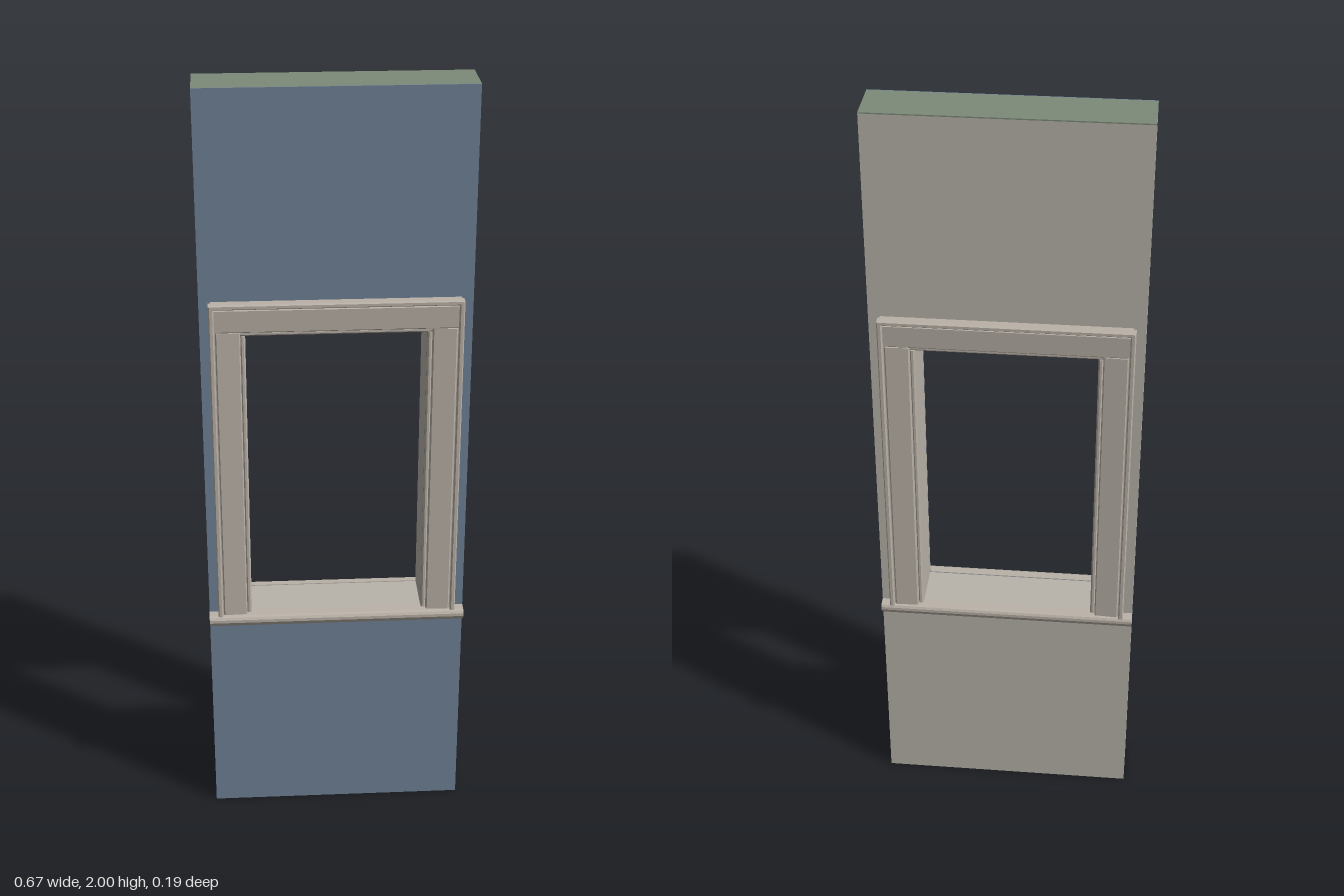
import * as THREE from 'three';

const W = 0.333;                 // half width of the wall
const FRONT = 0.062, BACK = -0.067;
const OX = 0.222, OY0 = 0.608, OY1 = 1.392; // window opening

function mat(name, color) {
  const m = new THREE.MeshStandardMaterial({ color });
  m.name = name;
  return m;
}

// Polygon swept along y; points are [x, z]
function sweepY(pts, y0, y1) {
  const shape = new THREE.Shape(pts.map(([x, z]) => new THREE.Vector2(x, -z)));
  return new THREE.ExtrudeGeometry(shape, { depth: y1 - y0, bevelEnabled: false })
    .rotateX(-Math.PI / 2).translate(0, y0, 0);
}

// Polygon swept along x, centred; points are [z, y]
function sweepX(pts, half) {
  const shape = new THREE.Shape(pts.map(([z, y]) => new THREE.Vector2(-z, y)));
  return new THREE.ExtrudeGeometry(shape, { depth: 2 * half, bevelEnabled: false })
    .rotateY(Math.PI / 2).translate(-half, 0, 0);
}

// Wall slab with the window cut out
function slab(z0, z1, top) {
  const s = new THREE.Shape();
  s.moveTo(-W, 0).lineTo(W, 0).lineTo(W, top).lineTo(-W, top).closePath();
  const h = new THREE.Path();
  h.moveTo(-OX, OY0).lineTo(-OX, OY1).lineTo(OX, OY1).lineTo(OX, OY0).closePath();
  s.holes.push(h);
  return new THREE.ExtrudeGeometry(s, { depth: z1 - z0, bevelEnabled: false }).translate(0, 0, z0);
}

// Trim sections: [distance from opening edge, height above wall face]
const BEAD = [[0, 0], [0, 0.004], [0.004, 0.008], [0.009, 0.008], [0.012, 0.004], [0.015, 0.004], [0.015, 0]];
const BOARD = [[0.012, 0], [0.012, 0.014], [0.015, 0.017], [0.07, 0.019], [0.073, 0.016], [0.077, 0.016], [0.077, 0]];
const BAND = [[0.075, 0], [0.075, 0.023], [0.078, 0.027], [0.085, 0.027], [0.088, 0.023], [0.088, 0]];
// Sill section: [height above wall face, y]
const SILL = [[-0.002, 0.61], [0.022, 0.609], [0.028, 0.606], [0.032, 0.6], [0.032, 0.592],
  [0.028, 0.586], [0.02, 0.584], [0.016, 0.578], [0.012, 0.572], [-0.002, 0.57]];

export function createModel() {
  const model = new THREE.Group();
  model.name = 'windowWall';
  const blue = mat('blue paint', 0x6f8296);
  const grey = mat('warm grey plaster', 0xb8b3aa);
  const trim = mat('trim paint', 0xbab2a8);
  const green = mat('green cap', 0x7d8b79);

  function add(parent, name, geometry, material) {
    const m = new THREE.Mesh(geometry, material);
    m.name = name;
    parent.add(m);
  }

  // Wall body, painted front skin and coloured top cap
  add(model, 'wallCore', slab(BACK, FRONT - 0.003, 1.997), grey);
  add(model, 'frontPaint', slab(FRONT - 0.003, FRONT, 2), blue);
  const capDepth = FRONT - 0.003 - BACK;
  add(model, 'topCap', new THREE.BoxGeometry(2 * W, 0.003, capDepth)
    .translate(0, 1.9985, BACK + capDepth / 2), green);

  // Window casing on both faces
  for (const [side, face, dir] of [['front', FRONT, 1], ['back', BACK, -1]]) {
    const casing = new THREE.Group();
    casing.name = side + 'Casing';
    model.add(casing);
    const z = d => face + dir * d;

    for (const s of [1, -1]) {
      const label = s > 0 ? 'left' : 'right';
      const leg = pts => pts.map(([u, d]) => [s * (OX + u), z(d)]);
      add(casing, label + 'Bead', sweepY(leg(BEAD), OY0, OY1), trim);
      add(casing, label + 'Board', sweepY(leg(BOARD), OY0, 1.404), trim);
      add(casing, label + 'Backband', sweepY(leg(BAND), OY0, 1.476), trim);
    }

    const head = pts => pts.map(([u, d]) => [z(d), OY1 + u]);
    add(casing, 'headBead', sweepX(head(BEAD), OX + 0.015), trim);
    add(casing, 'headBoard', sweepX(head(BOARD), OX + 0.075), trim);
    add(casing, 'headBackband', sweepX(head(BAND), OX + 0.082), trim);
    add(casing, 'sill', sweepX(SILL.map(([d, y]) => [z(dir > 0 ? d : d * 0.8), y]), W), trim);
  }
  return model;
}
